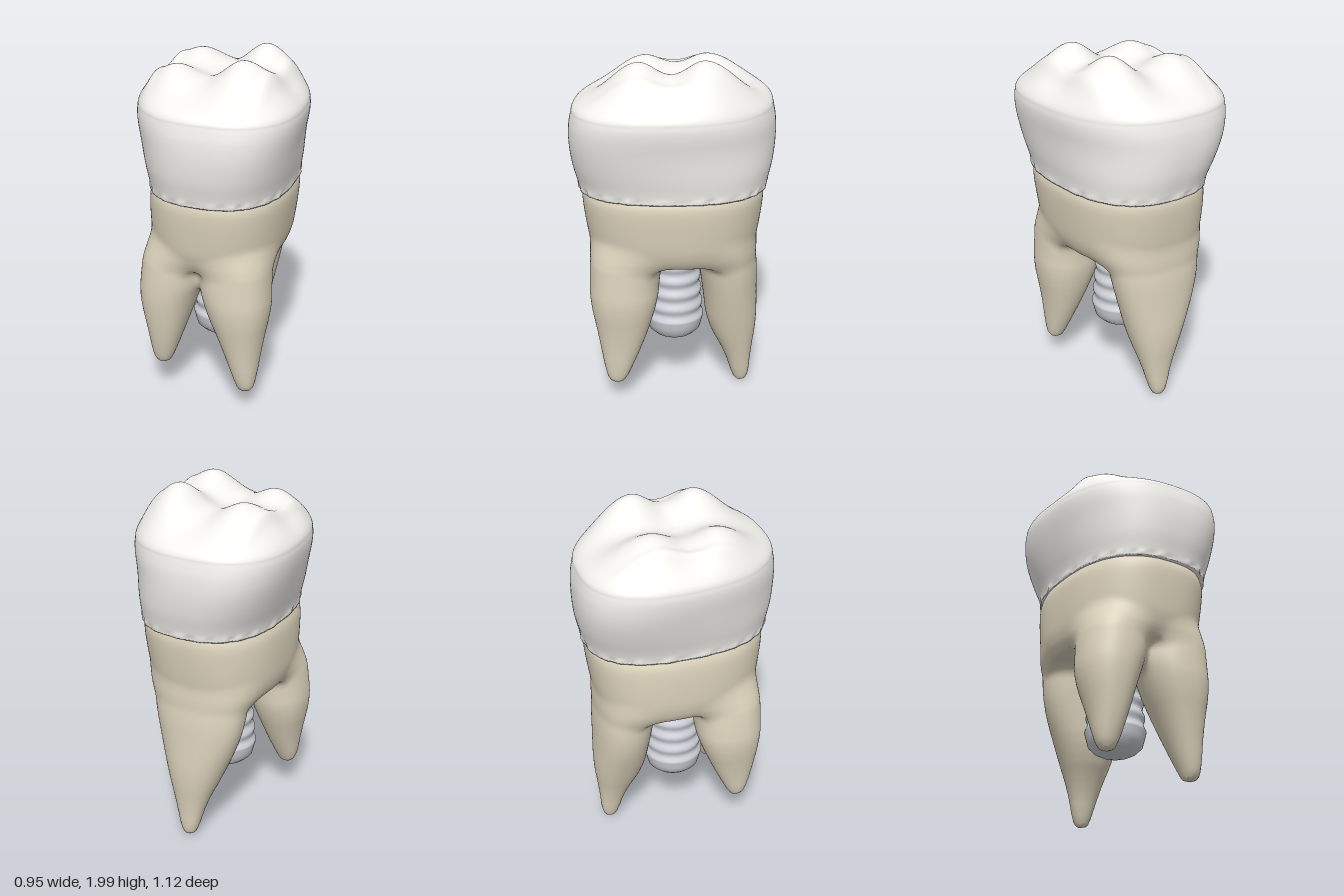
import * as THREE from 'three';

const mat = (color) => new THREE.MeshStandardMaterial({ color });
const bell = (d, s) => Math.exp(-(d * d) / (2 * s * s));

// Rounds the corners of a stack of rows by corner cutting, keeping both ends
function rounded(rows, times = 2) {
  const mix = (a, b, t) => a.map((v, k) => v + (b[k] - v) * t);
  for (let n = 0; n < times; n++) {
    const cut = rows.slice(1).flatMap((b, i) => [mix(rows[i], b, 0.25), mix(rows[i], b, 0.75)]);
    rows = [rows[0], ...cut, rows[rows.length - 1]];
  }
  return rows;
}

// Cross-section rows: [y, centre x, centre z, radius x, radius z]
const TRUNK = rounded([[0.78, -0.01, -0.01, 0.25, 0.33], [0.87, -0.008, 0, 0.342, 0.43], [0.95, -0.004, 0, 0.374, 0.468],
  [1.05, 0, 0, 0.386, 0.485], [1.2, 0.008, 0, 0.395, 0.503], [1.26, 0.012, 0, 0.387, 0.5], [1.32, 0.012, 0, 0.35, 0.47]]);
const ROOTS = [
  // front right
  [[0.2, -0.255, 0.31, 0.035, 0.035], [0.24, -0.255, 0.31, 0.06, 0.06], [0.4, -0.24, 0.293, 0.1, 0.12],
    [0.62, -0.23, 0.265, 0.162, 0.185], [0.76, -0.2, 0.257, 0.184, 0.196], [0.92, -0.185, 0.24, 0.178, 0.205], [1.05, -0.16, 0.2, 0.09, 0.11]],
  // front left
  [[0.12, 0.25, 0.31, 0.038, 0.038], [0.16, 0.25, 0.31, 0.055, 0.065], [0.4, 0.217, 0.28, 0.114, 0.137],
    [0.62, 0.19, 0.27, 0.183, 0.193], [0.76, 0.17, 0.265, 0.198, 0.197], [0.92, 0.182, 0.245, 0.182, 0.207], [1.05, 0.16, 0.2, 0.09, 0.11]],
  // back
  [[0, 0, -0.4, 0.03, 0.03], [0.04, 0, -0.4, 0.05, 0.05], [0.2, 0, -0.38, 0.09, 0.08], [0.4, -0.013, -0.34, 0.165, 0.148],
    [0.62, -0.03, -0.325, 0.238, 0.158], [0.78, -0.028, -0.312, 0.272, 0.168], [0.92, -0.02, -0.295, 0.28, 0.165], [1.05, 0, -0.24, 0.18, 0.1]],
].map((rows) => rounded(rows));

// Approximate signed distance to a stack of superelliptic sections
function stackField(rows, n, shear, bottom, top, x, y, z) {
  let i = 0;
  while (i < rows.length - 2 && y > rows[i + 1][0]) i++;
  const a = rows[i], b = rows[i + 1];
  const t = THREE.MathUtils.clamp((y - a[0]) / (b[0] - a[0]), 0, 1);
  const at = (k) => a[k] + (b[k] - a[k]) * t;
  const dz = z - at(2), dx = x - at(1) - shear * dz, rx = at(3), rz = at(4);
  const q = Math.pow(Math.pow(Math.abs(dx / rx), n) + Math.pow(Math.abs(dz / rz), n), 1 / n);
  return Math.max((q - 1) * Math.min(rx, rz), bottom - y, y - top);
}

function smoothMin(a, b, k) {
  const h = Math.max(k - Math.abs(a - b), 0) / k;
  return Math.min(a, b) - h * h * k * 0.25;
}

function rootField(x, y, z) {
  const [right, left, back] = ROOTS.map((rows) => stackField(rows, 2.2, 0, rows[0][0], 1.05, x, y, z));
  const legs = smoothMin(smoothMin(right, left, 0.06), back, 0.06);
  return smoothMin(stackField(TRUNK, 2.45, 0.05, 0.86, 1.31, x, y, z), legs, 0.08);
}

// Skins the zero level of a field with quads, one vertex per crossed cell
function skinField(field, min, size, cell) {
  const [nx, ny, nz] = size.map((s) => Math.ceil(s / cell) + 1);
  const step = [1, nx, nx * ny];
  const at = (k, i) => min[k] + i * cell;
  const values = new Float32Array(nx * ny * nz);
  const ids = new Int32Array(values.length).fill(-1);
  const pos = [], nor = [], index = [];
  for (let k = 0, p = 0; k < nz; k++) for (let j = 0; j < ny; j++) for (let i = 0; i < nx; i++, p++)
    values[p] = field(at(0, i), at(1, j), at(2, k));
  const eachCell = (fn) => {
    for (let k = 1; k < nz - 1; k++) for (let j = 1; j < ny - 1; j++) for (let i = 1; i < nx - 1; i++)
      fn([i, j, k], i + j * step[1] + k * step[2]);
  };
  eachCell((c, p) => {
    const sum = [0, 0, 0];
    let hits = 0;
    for (let corner = 0; corner < 8; corner++) for (let a = 0; a < 3; a++) {
      if (corner & (1 << a)) continue;
      const o = [corner & 1, (corner >> 1) & 1, corner >> 2];
      const s = p + o[0] + o[1] * step[1] + o[2] * step[2];
      const f0 = values[s], f1 = values[s + step[a]];
      if ((f0 < 0) === (f1 < 0)) continue;
      o[a] = f0 / (f0 - f1);
      for (let m = 0; m < 3; m++) sum[m] += o[m];
      hits++;
    }
    if (!hits) return;
    ids[p] = pos.length / 3;
    const [x, y, z] = c.map((v, m) => at(m, v + sum[m] / hits));
    const e = 0.016;
    const g = new THREE.Vector3(field(x + e, y, z) - field(x - e, y, z),
      field(x, y + e, z) - field(x, y - e, z), field(x, y, z + e) - field(x, y, z - e)).normalize();
    pos.push(x, y, z);
    nor.push(g.x, g.y, g.z);
  });
  eachCell((c, p) => {
    for (let a = 0; a < 3; a++) {
      const inside = values[p] < 0;
      if (inside === (values[p + step[a]] < 0)) continue;
      const u = step[(a + 1) % 3], v = step[(a + 2) % 3];
      const q = [ids[p - u - v], ids[p - v], ids[p], ids[p - u]];
      if (!inside) q.reverse();
      if (q.every((id) => id >= 0)) index.push(q[0], q[1], q[2], q[0], q[2], q[3]);
    }
  });
  const geo = new THREE.BufferGeometry();
  geo.setAttribute('position', new THREE.Float32BufferAttribute(pos, 3));
  geo.setAttribute('normal', new THREE.Float32BufferAttribute(nor, 3));
  geo.setIndex(index);
  return geo;
}

// Height of the chewing surface: a dome, four cusps steeper inward, two long side ridges
// Cusp: [x, z, height, inner spread z, outer spread z]
const CUSPS = [[0.18, -0.18, 0.184, 0.12, 0.165], [0.18, 0.18, 0.168, 0.11, 0.135],
  [-0.22, -0.18, 0.128, 0.12, 0.165], [-0.22, 0.18, 0.12, 0.11, 0.135]];
function biteHeight(x, z, t) {
  let h = 0;
  for (const [cx, cz, amp, inner, outer] of CUSPS)
    h += amp * bell(x - cx, (x - cx) * cx > 0 ? 0.15 : 0.115) * bell(z - cz, (z - cz) * cz > 0 ? outer : inner);
  h += 0.026 * (bell(x + 0.335, 0.022) + bell(x - 0.325, 0.026)) * bell(z, 0.32);
  return 1.72 + 0.092 * Math.sqrt(1 - t ** 4) + h * (1 - t ** 6);
}

function crownGeometry() {
  const seg = 128, rings = [];
  const outline = (rx, rz, shear, cx, a) => {
    const c = Math.cos(a), s = Math.sin(a), n = 2 / 2.5;
    const z = rz * Math.sign(s) * Math.abs(s) ** n;
    return [cx + rx * Math.sign(c) * Math.abs(c) ** n + shear * z, z];
  };
  const addRing = (fn) => rings.push(Array.from({ length: seg }, (_, i) => fn((i / seg) * Math.PI * 2)));
  // underside lip, then the bulging wall with a slightly ragged margin
  addRing((a) => { const [x, z] = outline(0.34, 0.46, 0.05, 0.012, a); return [x, 1.285, z]; });
  const wall = new THREE.CatmullRomCurve3([[0.388, 1.272, 0.518], [0.393, 1.32, 0.526], [0.416, 1.42, 0.548],
    [0.44, 1.54, 0.56], [0.459, 1.64, 0.557], [0.463, 1.69, 0.548], [0.46, 1.72, 0.541]]
    .map((p) => new THREE.Vector3(...p)));
  for (const p of wall.getPoints(36)) {
    const k = THREE.MathUtils.smoothstep(p.y, 1.27, 1.6);
    addRing((a) => {
      const ragged = 0.004 * bell(p.y - 1.285, 0.012) * (Math.sin(a * 23) + Math.sin(a * 37 + 1) * Math.sin(a * 5));
      const [x, z] = outline(p.x + ragged, p.z + ragged, 0.05 + 0.075 * k, 0.014 * (1 - k), a);
      return [x, p.y, z];
    });
  }
  // chewing surface closing to the middle
  for (let j = 1; j <= 56; j++) {
    const t = Math.cos((j / 56) * Math.PI / 2);
    addRing((a) => {
      const [x, z] = outline(0.46 * t, 0.541 * t, 0.125, 0, a);
      return [x, biteHeight(x, z, t), z];
    });
  }
  const index = [];
  for (let j = 0; j < rings.length - 1; j++) for (let i = 0; i < seg; i++) {
    const a = j * seg + i, b = j * seg + (i + 1) % seg;
    index.push(a, a + seg, b, b, a + seg, b + seg);
  }
  const geo = new THREE.BufferGeometry();
  geo.setAttribute('position', new THREE.Float32BufferAttribute(rings.flat(2), 3));
  geo.setIndex(index);
  geo.computeVertexNormals();
  // the middle ring collapses to one point
  const nor = geo.attributes.normal;
  for (let i = nor.count - seg; i < nor.count; i++) nor.setXYZ(i, 0, 1, 0);
  return geo;
}

// Threaded post with a rounded lower end
function implantGeometry() {
  const pts = [[0, 0.295], [0.05, 0.297], [0.085, 0.305], [0.12, 0.323], [0.15, 0.352], [0.16, 0.39]].map((p) => new THREE.Vector2(...p));
  for (let i = 0; i <= 70; i++) {
    const y = 0.43 + i * 0.0075;
    pts.push(new THREE.Vector2(0.164 - 0.075 * (y - 0.43) + 0.006 * Math.cos(((y - 0.43) / 0.085) * Math.PI * 2), y));
  }
  pts.push(new THREE.Vector2(0, 0.956));
  return new THREE.LatheGeometry(pts, 48);
}

export function createModel() {
  const model = new THREE.Group();
  model.name = 'molarTooth';
  const add = (name, geo, color) => {
    const mesh = new THREE.Mesh(geo, mat(color));
    mesh.name = name;
    model.add(mesh);
    return mesh;
  };
  add('crown', crownGeometry(), 0xf4f2ee);
  add('roots', skinField(rootField, [-0.48, -0.05, -0.56], [0.96, 1.42, 1.12], 0.0165), 0xe0d6bf);
  add('implantScrew', implantGeometry(), 0xd0d3da).position.set(-0.015, 0, -0.005);
  return model;
}
